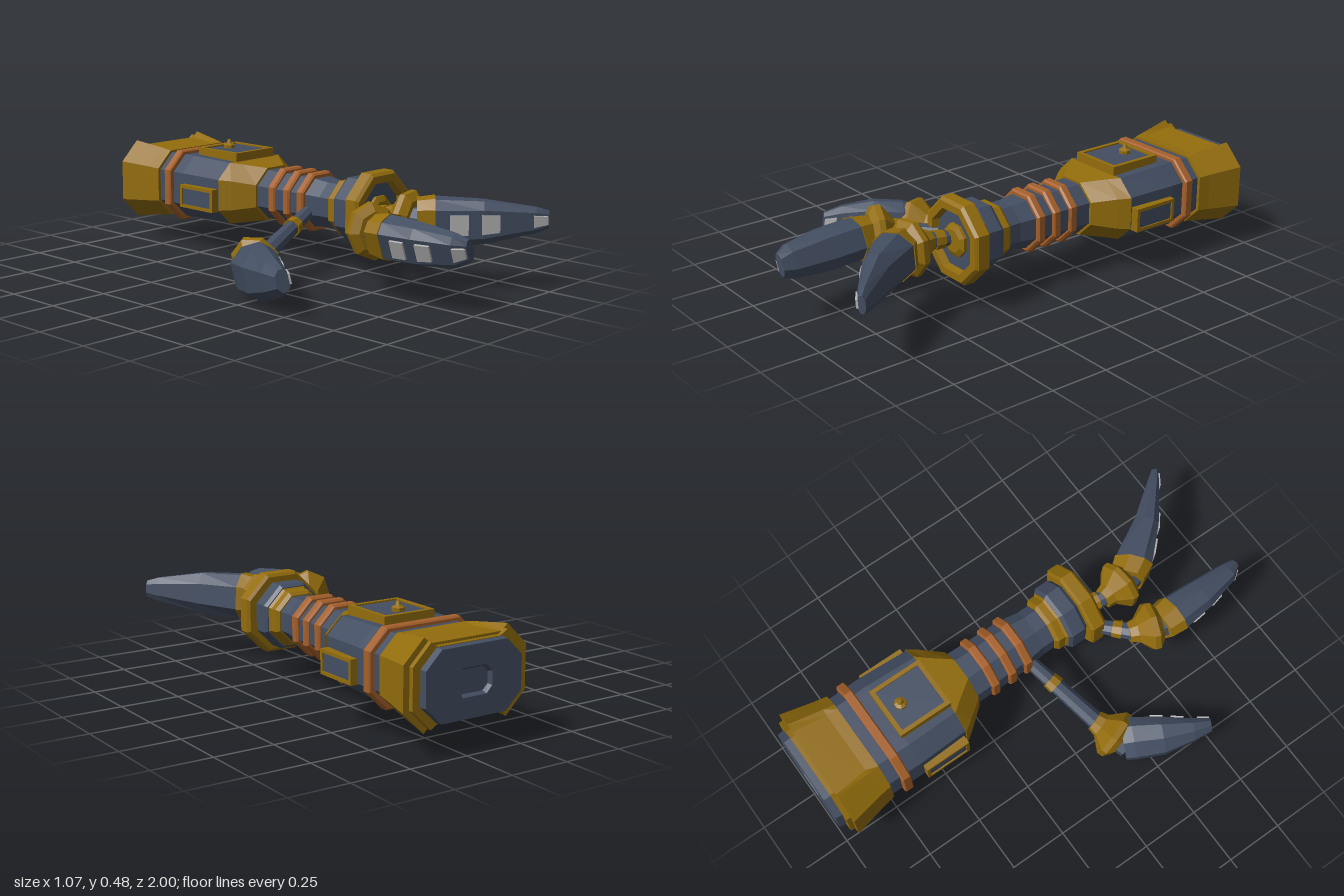
import * as THREE from 'three';

const CX = 0.22, CY = 0.295; // forearm axis
const V = (a) => new THREE.Vector3(...a);

export function createModel() {
  const root = new THREE.Group();
  root.name = 'mechanicalArm';
  const mat = (name, color) => {
    const m = new THREE.MeshStandardMaterial({ color });
    m.name = name;
    return m;
  };
  const steel = mat('blueSteel', 0x434e62);
  const gold = mat('darkGold', 0x936d0c);
  const copper = mat('copper', 0xa6602a);
  const pale = mat('paleGrey', 0xb2b2b2);

  // Faceted skin through counter-clockwise rings, with capped ends
  function loft(rings) {
    const p = [];
    const n = rings[0].length;
    const cap = (ring, flip) => {
      const c = [0, 1, 2].map((k) => ring.reduce((s, q) => s + q[k], 0) / n);
      for (let j = 0; j < n; j++) {
        const a = ring[j], b = ring[(j + 1) % n];
        p.push(...c, ...(flip ? b : a), ...(flip ? a : b));
      }
    };
    cap(rings[0], true);
    for (let i = 0; i + 1 < rings.length; i++) {
      for (let j = 0; j < n; j++) {
        const k = (j + 1) % n;
        const a = rings[i][j], b = rings[i][k], c = rings[i + 1][k], d = rings[i + 1][j];
        p.push(...a, ...b, ...c, ...a, ...c, ...d);
      }
    }
    cap(rings[rings.length - 1], false);
    const g = new THREE.BufferGeometry();
    g.setAttribute('position', new THREE.Float32BufferAttribute(p, 3));
    g.computeVertexNormals();
    return g;
  }

  function add(parent, name, geometry, material, pos = [0, 0, 0]) {
    const m = new THREE.Mesh(geometry, material);
    m.name = name;
    m.position.set(...pos);
    parent.add(m);
    return m;
  }

  // Octagon ring; fx, fy set the flats, dip sinks the top and bottom middle
  function oct(z, hw, hh = hw, fx = 0.42, fy = 0.42, dip = 0) {
    const x = hw * fx, y = hh * fy, d = x * 0.85, h = hh - dip;
    return [[hw, -y], [hw, y], [x, hh], [d, h], [-d, h], [-x, hh],
      [-hw, y], [-hw, -y], [-x, -hh], [-d, -h], [d, -h], [x, -hh]].map(([a, b]) => [a, b, z]);
  }
  const octs = (list) => loft(list.map((a) => oct(...a)));

  // ---- Forearm, built along z ----
  const arm = new THREE.Group();
  arm.name = 'forearm';
  arm.position.set(CX, CY, 0);
  root.add(arm);
  const F = [0.68, 0.5];
  add(arm, 'rearPlate', octs([[-0.985, 0.07, 0.045, ...F], [-1, 0.08, 0.055, ...F],
    [-1, 0.215, 0.135, ...F], [-0.94, 0.22, 0.14, ...F]]), steel);
  add(arm, 'elbowCuff', octs([[-0.97, 0.225, 0.145, ...F, 0.01], [-0.97, 0.25, 0.16, ...F, 0.02],
    [-0.95, 0.25, 0.16, ...F, 0.02], [-0.95, 0.276, 0.175, ...F, 0.025],
    [-0.8, 0.243, 0.155, ...F, 0.012], [-0.75, 0.235, 0.147, ...F]]), gold);
  add(arm, 'forearmShell', octs([[-0.76, 0.222, 0.138, ...F], [-0.6, 0.225, 0.14, ...F],
    [-0.37, 0.215, 0.133, ...F]]), steel);
  add(arm, 'shellBand', octs([[-0.7, 0.24, 0.15, ...F], [-0.695, 0.246, 0.156, ...F],
    [-0.665, 0.246, 0.156, ...F], [-0.66, 0.24, 0.15, ...F]]), copper);
  add(arm, 'shellTaper', octs([[-0.375, 0.222, 0.135, ...F], [-0.33, 0.19, 0.128, 0.6, 0.5],
    [-0.245, 0.122, 0.115]]), gold);
  add(arm, 'wristTube', octs([[-0.26, 0.112, 0.106], [0.02, 0.108, 0.104], [0.1, 0.095],
    [0.18, 0.095]]), steel);
  [-0.155, -0.07, 0.01].forEach((z) => add(arm, 'wristRing', octs([[z - 0.02, 0.115],
    [z - 0.013, 0.123], [z + 0.013, 0.123], [z + 0.02, 0.115]]), copper));
  add(arm, 'palmCollar', octs([[0.155, 0.1], [0.17, 0.113], [0.2, 0.113], [0.215, 0.125]]), gold);
  add(arm, 'palmDrum', octs([[0.21, 0.125], [0.225, 0.135], [0.285, 0.135], [0.305, 0.12]]), steel);
  add(arm, 'palmRim', octs([[0.3, 0.155], [0.31, 0.167], [0.36, 0.167], [0.372, 0.155],
    [0.372, 0.125], [0.335, 0.118]]), gold);
  add(arm, 'palmFace', octs([[0.33, 0.117], [0.342, 0.117]]), steel);
  add(arm, 'palmHub', octs([[0.34, 0.065], [0.355, 0.065], [0.365, 0.045]]), gold);

  // Framed panel lying in its own xy plane and facing its +z
  function panel(name, w, h, depth, border) {
    const g = new THREE.Group();
    g.name = name;
    for (const s of [-1, 1]) {
      add(g, 'panelFrame', new THREE.BoxGeometry(w, border, depth), gold, [0, s * (h - border) / 2, 0]);
      add(g, 'panelFrame', new THREE.BoxGeometry(border, h - 2 * border, depth), gold, [s * (w - border) / 2, 0, 0]);
    }
    add(g, 'panelInset', new THREE.BoxGeometry(w - 2 * border, h - 2 * border, depth * 0.7), steel);
    arm.add(g);
    return g;
  }
  const top = panel('topPanel', 0.23, 0.24, 0.04, 0.018);
  top.rotation.x = -Math.PI / 2;
  top.position.set(0, 0.152, -0.49);
  add(top, 'topStud', octs([[0.01, 0.024], [0.028, 0.024], [0.035, 0.012], [0.052, 0.006]]),
    gold, [0, 0.045, 0]);
  for (const s of [-1, 1]) {
    const side = panel('sidePanel', 0.205, 0.1, 0.04, 0.014);
    side.rotation.y = s * Math.PI / 2;
    side.position.set(s * 0.232, -0.025, -0.487);
  }

  // Group whose z axis runs from one point to another, x axis towards "face"
  function along(name, from, to, face) {
    const z = V(to).sub(V(from)).normalize();
    const y = new THREE.Vector3().crossVectors(z, V(face)).normalize();
    const x = new THREE.Vector3().crossVectors(y, z);
    const g = new THREE.Group();
    g.name = name;
    g.quaternion.setFromRotationMatrix(new THREE.Matrix4().makeBasis(x, y, z));
    g.position.set(...from);
    root.add(g);
    return { g, length: V(from).distanceTo(V(to)) };
  }

  // ---- Fingers: rod, flared knuckle, claw segment and grip pads ----
  // profile rows: [position along, half thickness, half width, bend]
  function finger({ name, rod, base, tip, face, band, cuff, profile, pads }) {
    const [start, end] = rod;
    const r = along(name + 'Rod', start, end, face);
    add(r.g, 'rod', octs([[0, 0.027], [r.length + 0.02, 0.036]]), steel);
    const b = r.length * band;
    add(r.g, 'rodBand', octs([[b - 0.02, 0.034], [b + 0.02, 0.037]]), gold);

    const k = along(name + 'Knuckle', end, base, face);
    const L = k.length;
    add(k.g, 'knuckle', octs([[-0.02, 0.042], [0.015, 0.05], [L * 0.55, 0.098, 0.11],
      [L * 0.75, 0.098, 0.11], [L * 0.95, 0.07, 0.08]]), gold);
    add(k.g, 'knuckleCore', octs([[L * 0.9, 0.055], [L + 0.03, 0.055]]), steel);

    const f = along(name + 'Claw', base, tip, face);
    const at = (t) => {
      let i = 0;
      while (i < profile.length - 2 && t > profile[i + 1][0]) i++;
      const p = profile[i], q = profile[i + 1], u = (t - p[0]) / (q[0] - p[0]);
      return p.map((v, n) => v + (q[n] - v) * u);
    };
    const ring = (t, grow = 0) => {
      const [, th0, w0, bend] = at(t);
      const th = th0 + grow, w = w0 + grow;
      return [[th, -0.65 * w], [th, 0.65 * w], [0.5 * th, w], [-0.3 * th, w], [-th, 0.5 * w],
        [-th, -0.5 * w], [-0.3 * th, -w], [0.5 * th, -w]].map(([x, y]) => [x + bend, y, t * f.length]);
    };
    add(f.g, 'claw', loft(profile.map((p) => ring(p[0]))), steel);
    if (cuff) add(f.g, 'clawCuff', loft([ring(-0.01, 0.001), ring(cuff, 0.004)]), gold);
    pads.forEach(([t0, t1]) => {
      const padRing = (t) => {
        const [, th, w, bend] = at(t), x = th + bend, h = w * 0.45, z = t * f.length;
        return [[x + 0.009, -h, z], [x + 0.009, h, z], [x - 0.008, h, z], [x - 0.008, -h, z]];
      };
      add(f.g, 'gripPad', loft([padRing(t0), padRing(t1)]), pale);
    });
  }

  finger({
    name: 'thumb', rod: [[0.14, 0.265, 0.03], [-0.23, 0.155, 0.13]], band: 0.36,
    base: [-0.345, 0.125, 0.175], tip: [-0.515, 0.165, 0.505], face: [0.85, 0.2, 0.45],
    profile: [[0, 0.08, 0.095, 0], [0.12, 0.085, 0.105, 0], [0.45, 0.075, 0.105, -0.01],
      [0.8, 0.045, 0.075, -0.008], [1, 0.026, 0.045, 0]],
    pads: [[0.34, 0.48], [0.57, 0.71], [0.86, 0.99]],
  });
  finger({
    name: 'innerFinger', rod: [[0.1, 0.285, 0.34], [-0.02, 0.285, 0.46]], band: 0.6,
    base: [-0.058, 0.285, 0.575], tip: [-0.03, 0.275, 0.995], face: [-0.9, -0.38, 0.1], cuff: 0.16,
    profile: [[0, 0.07, 0.075, 0], [0.16, 0.076, 0.085, 0], [0.5, 0.064, 0.085, 0.004],
      [0.88, 0.04, 0.068, 0], [1, 0.02, 0.045, -0.01]],
    pads: [[0.28, 0.42], [0.54, 0.68], [0.89, 0.99]],
  });
  finger({
    name: 'outerFinger', rod: [[0.19, 0.295, 0.33], [0.17, 0.3, 0.46]], band: 0.55,
    base: [0.185, 0.3, 0.58], tip: [0.515, 0.312, 0.975], face: [-0.75, -0.08, 0.65], cuff: 0.13,
    profile: [[0, 0.07, 0.09, 0], [0.13, 0.078, 0.097, 0.008], [0.5, 0.052, 0.088, 0.02],
      [0.9, 0.024, 0.052, 0.006], [1, 0.014, 0.035, 0]],
    pads: [[0.24, 0.38], [0.48, 0.62], [0.88, 0.99]],
  });

  return root;
}
